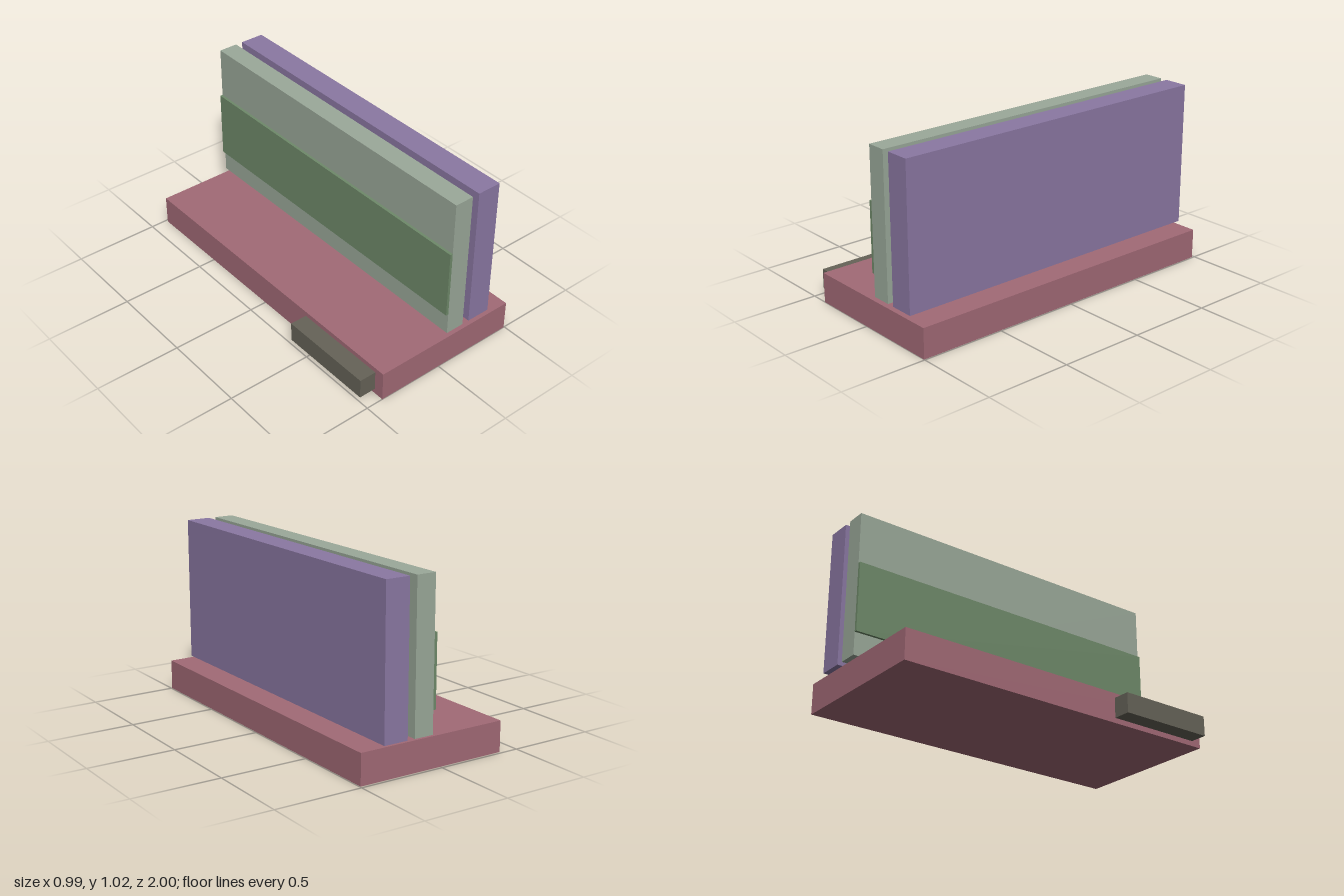
import * as THREE from 'three';

// Box given by its extents along each axis
function slab(name, color, [x0, x1], [y0, y1], [z0, z1]) {
  const mesh = new THREE.Mesh(
    new THREE.BoxGeometry(x1 - x0, y1 - y0, z1 - z0),
    new THREE.MeshStandardMaterial({ color })
  );
  mesh.position.set((x0 + x1) / 2, (y0 + y1) / 2, (z0 + z1) / 2);
  mesh.name = name;
  return mesh;
}

export function createModel() {
  const group = new THREE.Group();
  group.name = 'slabAssembly';
  const wallY = [0.188, 1.023];
  const wallZ = [-1, 0.985];

  group.add(
    // Low base and the small block on its side
    slab('base', 0xa26a76, [-0.397, 0.495], [0, 0.174], [-0.985, 1]),
    slab('sideBlock', 0x666358, [-0.498, -0.397], [0.03, 0.146], [0.367, 0.94]),
    // Two parallel upright panels, floating just above the base
    slab('innerPanel', 0x9ba99a, [0.064, 0.178], wallY, wallZ),
    slab('outerPanel', 0x8b78a3, [0.222, 0.365], wallY, wallZ),
    // Raised strip along the inner panel
    slab('panelStrip', 0x6f8a6a, [0.048, 0.064], [0.318, 0.72], wallZ)
  );
  return group;
}
